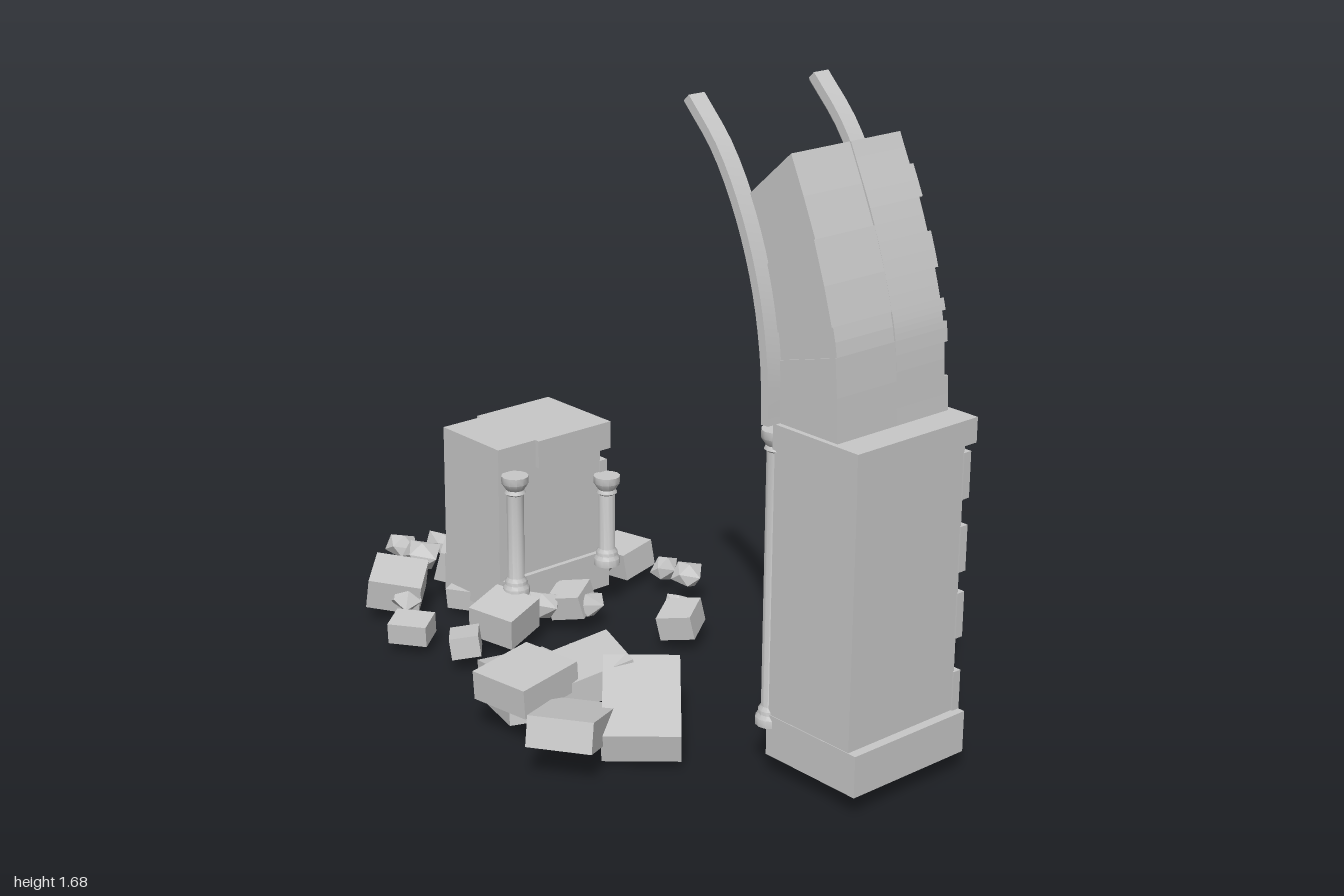
import * as THREE from 'three';
import { toCreasedNormals } from 'three/addons/utils/BufferGeometryUtils.js';
import { ConvexGeometry } from 'three/addons/geometries/ConvexGeometry.js';

const stone = new THREE.MeshStandardMaterial({ color: 0xc8c8c8 });
stone.name = 'grey stone';

let seed = 7;
const rand = () => (seed = (seed * 16807) % 2147483647) / 2147483647;
const v2 = (p) => new THREE.Vector2(...p);
const v3 = (p) => new THREE.Vector3(p[0], p[1], 0);

function add(parent, name, geometry, x = 0, y = 0, z = 0) {
  const mesh = new THREE.Mesh(geometry, stone);
  mesh.name = name;
  mesh.position.set(x, y, z);
  parent.add(mesh);
  return mesh;
}

// Box given by its lower and upper limits on each axis
function block(parent, name, x0, x1, y0, y1, z0, z1) {
  return add(parent, name, new THREE.BoxGeometry(x1 - x0, y1 - y0, z1 - z0),
    (x0 + x1) / 2, (y0 + y1) / 2, (z0 + z1) / 2);
}

// Slender column with moulded base and flared capital
function column(parent, x, y0, y1, z) {
  const profile = [[0, y0], [0.038, y0], [0.038, y0 + 0.02], [0.031, y0 + 0.03],
    [0.031, y0 + 0.04], [0.024, y0 + 0.05], [0.024, y1 - 0.055], [0.03, y1 - 0.05],
    [0.025, y1 - 0.04], [0.038, y1 - 0.02], [0.038, y1], [0, y1]].map(v2);
  add(parent, 'column', toCreasedNormals(new THREE.LatheGeometry(profile, 12), 0.6), x, 0, z);
}

// Pier still standing, with proud courses on its back
function rightPier(root) {
  const g = new THREE.Group();
  g.name = 'rightPier';
  block(g, 'plinth', 0.695, 1, 0.05, 0.16, -0.322, 0.062);
  block(g, 'shaft', 0.7, 0.975, 0.16, 0.86, -0.305, 0.06);
  block(g, 'cap', 0.705, 0.985, 0.86, 0.925, -0.335, 0.072);
  for (const y of [0.205, 0.415, 0.59, 0.78])
    block(g, 'backCourse', 0.702, 0.98, y - 0.06, y + 0.06, -0.323, -0.3);
  for (const z of [0.04, -0.3]) column(g, 0.685, 0.125, 0.9, z);
  root.add(g);
}

// Broken stump of the second pier
function leftPier(root) {
  const g = new THREE.Group();
  g.name = 'leftPier';
  block(g, 'plinth', -0.65, -0.365, 0.05, 0.16, -0.325, 0.05);
  block(g, 'frontStump', -0.63, -0.38, 0.16, 0.55, -0.07, 0.06);
  block(g, 'backStump', -0.63, -0.38, 0.16, 0.52, -0.305, -0.07);
  block(g, 'topSlab', -0.645, -0.365, 0.47, 0.55, -0.33, -0.07);
  for (const y of [0.23, 0.38])
    block(g, 'backCourse', -0.637, -0.375, y - 0.055, y + 0.055, -0.325, -0.3);
  column(g, -0.345, 0.13, 0.48, 0.03);
  column(g, -0.345, 0.13, 0.4, -0.3);
  root.add(g);
}

// Springing of the arch: wide voussoirs in front, narrow ones behind
function arch(root) {
  const g = new THREE.Group();
  g.name = 'archFragment';
  const curve = (pts) => new THREE.CatmullRomCurve3(pts.map(v3));
  const inner = curve([[0.715, 0.925], [0.707, 1.08], [0.695, 1.145], [0.65, 1.3], [0.59, 1.46]]);
  const outer = curve([[0.905, 0.925], [0.89, 1.13], [0.875, 1.2], [0.81, 1.395], [0.725, 1.58]]);
  const ring = (name, count, z0, z1, step) => {
    for (let i = 0; i < count; i++) {
      const a = i / count, b = (i + 1) / count, odd = (i % 2) * step;
      const pts = [inner.getPoint(a), outer.getPoint(a),
        outer.getPoint((a + b) / 2), outer.getPoint(b), inner.getPoint(b), inner.getPoint((a + b) / 2)];
      const lo = z0 + odd, hi = z1 - (name === 'frontVoussoir' ? odd : 0);
      add(g, name, new THREE.ExtrudeGeometry(new THREE.Shape(pts.map((p) => new THREE.Vector2(p.x, p.y))),
        { depth: hi - lo, bevelEnabled: false }), 0, 0, lo);
    }
  };
  ring('frontVoussoir', 4, -0.14, 0.058, 0.004);
  ring('backVoussoir', 10, -0.318, -0.14, 0.012);

  // Moulded ribs that reach beyond the broken voussoirs
  const path = curve([[0.696, 0.925], [0.688, 1.08], [0.655, 1.25], [0.593, 1.415], [0.51, 1.555], [0.41, 1.66]]);
  const profile = new THREE.Shape([[-0.025, -0.02], [0.025, -0.02], [0.025, 0.004], [0.017, 0.004],
    [0.017, 0.012], [0.01, 0.02], [-0.01, 0.02], [-0.017, 0.012], [-0.017, 0.004], [-0.025, 0.004]].map(v2));
  for (const z of [0.074, -0.338])
    add(g, 'archRib', toCreasedNormals(new THREE.ExtrudeGeometry(profile,
      { steps: 18, extrudePath: path, bevelEnabled: false }), 0.4), 0, 0, z);
  root.add(g);
}

// Angular rock: hull of points scattered over an ellipsoid
function rock(parent, x, y, z, w, h, d) {
  const pts = [];
  for (let i = 0; i < 11; i++) {
    const u = 1 - 2 * (i + 0.5) / 11, a = i * 2.4 + rand() * 0.7, r = Math.sqrt(1 - u * u);
    pts.push(new THREE.Vector3(r * Math.cos(a) * w / 2, u * h / 2, r * Math.sin(a) * d / 2));
  }
  add(parent, 'rock', new ConvexGeometry(pts), x, y, z);
}

// Fallen block: position, size, then turn and two tilts in degrees
function fallen(parent, name, [x, y, z, w, h, d, ry, rx, rz]) {
  const k = Math.PI / 180;
  add(parent, name, new THREE.BoxGeometry(w, h, d), x, y, z)
    .rotation.set(rx * k, ry * k, rz * k, 'YXZ');
}

function rubble(root) {
  const g = new THREE.Group();
  g.name = 'rubble';
  // Large blocks between the piers
  [
    [0.36, 0.09, 0.18, 0.33, 0.08, 0.2, -41, 0, -13],
    [0.335, 0.095, 0.385, 0.17, 0.08, 0.26, 35, -15, 0],
    [0.12, 0.135, 0.365, 0.18, 0.08, 0.2, 8, 4, 0],
    [0.125, 0.1, 0.185, 0.2, 0.08, 0.24, -20, 14, 0],
    [-0.03, 0.07, 0.26, 0.14, 0.08, 0.19, -14, 0, 12],
    [0.05, 0.05, 0.32, 0.2, 0.08, 0.14, -20, 0, 8],
  ].forEach((b) => fallen(g, 'largeBlock', b));
  // Small blocks around the stump
  [
    [-0.465, 0.075, -0.46, 0.14, 0.08, 0.12, 6, 8, 4],
    [-0.71, 0.1, -0.06, 0.13, 0.09, 0.19, 45, 5, -14],
    [-0.69, 0.09, 0.19, 0.15, 0.09, 0.15, 45, 10, -8],
    [-0.47, 0.06, 0.3, 0.11, 0.06, 0.09, 36, 6, 0],
    [-0.29, 0.065, 0.25, 0.1, 0.06, 0.08, -38, 8, 5],
    [-0.31, 0.09, 0.1, 0.14, 0.09, 0.14, 18, 8, -5],
    [-0.01, 0.075, -0.285, 0.1, 0.07, 0.11, 32, 8, 10],
    [-0.3, 0.08, -0.13, 0.1, 0.07, 0.1, 30, 10, 12],
    [-0.57, 0.05, 0.0, 0.13, 0.06, 0.12, 25, 4, 3],
    [-0.45, 0.05, -0.18, 0.14, 0.06, 0.12, -20, 3, -4],
  ].forEach((b) => fallen(g, 'smallBlock', b));
  // Broken rocks
  [
    [-0.32, 0.07, -0.5, 0.07, 0.08, 0.1], [-0.21, 0.09, -0.49, 0.1, 0.08, 0.11],
    [-0.68, 0.08, -0.34, 0.12, 0.1, 0.11], [-0.46, 0.09, -0.37, 0.14, 0.1, 0.08],
    [-0.9, 0.07, -0.115, 0.12, 0.08, 0.07], [-0.95, 0.07, -0.01, 0.1, 0.09, 0.1],
    [-0.83, 0.085, 0.0, 0.12, 0.1, 0.13], [-0.62, 0.07, 0.21, 0.09, 0.07, 0.1],
    [-0.33, 0.08, -0.05, 0.11, 0.09, 0.11], [-0.27, 0.07, -0.16, 0.1, 0.08, 0.12],
    [-0.09, 0.08, -0.34, 0.08, 0.07, 0.07], [-0.03, 0.07, 0.06, 0.1, 0.06, 0.07],
    [-0.6, 0.06, -0.2, 0.12, 0.08, 0.12], [-0.42, 0.055, 0.0, 0.12, 0.08, 0.12],
  ].forEach((r) => rock(g, ...r));
  root.add(g);
}

export function createModel() {
  seed = 7;
  const root = new THREE.Group();
  root.name = 'ruinedArch';
  rightPier(root);
  leftPier(root);
  arch(root);
  rubble(root);
  return root;
}
